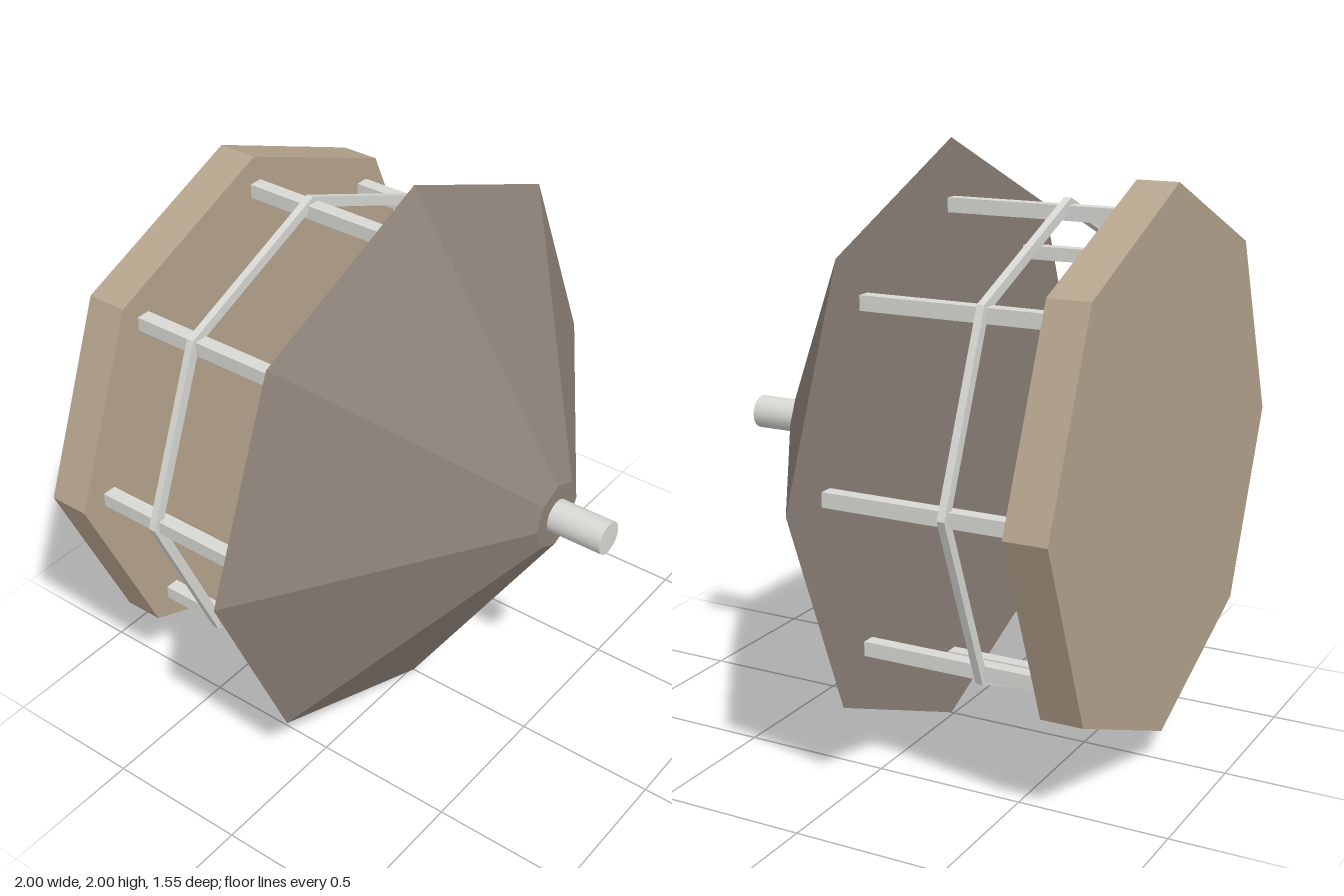
import * as THREE from 'three';

const SIDES = 8;

// Faceted prism or frustum running along z from zBack to zFront
function prism(rFront, rBack, zBack, zFront) {
  const g = new THREE.CylinderGeometry(rFront, rBack, zFront - zBack, SIDES)
    .rotateX(Math.PI / 2)
    .translate(0, 0, (zFront + zBack) / 2)
    .toNonIndexed();
  g.computeVertexNormals();
  return g;
}

function octagon(r) {
  return Array.from({ length: SIDES }, (_, i) => {
    const a = (i / SIDES) * Math.PI * 2;
    return new THREE.Vector2(r * Math.cos(a), r * Math.sin(a));
  });
}

export function createModel() {
  const model = new THREE.Group();
  const body = new THREE.Group();
  body.name = 'body';
  body.position.y = 1;
  model.add(body);

  const coneColour = new THREE.MeshStandardMaterial({ color: 0x8b8077 });
  coneColour.name = 'taupe';
  const plateColour = new THREE.MeshStandardMaterial({ color: 0xb5a48d });
  plateColour.name = 'tan';
  const metal = new THREE.MeshStandardMaterial({ color: 0xd7d7d3 });
  metal.name = 'light metal';

  function add(name, geometry, material) {
    const mesh = new THREE.Mesh(geometry, material);
    mesh.name = name;
    body.add(mesh);
    return mesh;
  }

  // Front cone with a cut tip, and the back plate
  add('frontCone', prism(0.117, 1, 0.01, 0.58), coneColour);
  add('backPlate', prism(0.9, 0.9, -0.775, -0.635), plateColour);

  // Round spindle on the cone tip
  const spindle = new THREE.CylinderGeometry(0.057, 0.057, 0.2, 20).rotateX(Math.PI / 2);
  add('spindle', spindle, metal).position.z = 0.675;

  // Square posts joining the cone to the plate
  const post = new THREE.BoxGeometry(0.048, 0.048, 0.65);
  octagon(0.785).forEach((p, i) => {
    add('post' + (i + 1), post, metal).position.set(p.x, p.y, -0.312);
  });

  // Thin octagonal ring around the posts
  const ringShape = new THREE.Shape(octagon(0.832));
  ringShape.holes.push(new THREE.Path(octagon(0.795).reverse()));
  const ring = new THREE.ExtrudeGeometry(ringShape, { depth: 0.025, bevelEnabled: false });
  add('ring', ring, metal).position.z = -0.417;

  return model;
}
